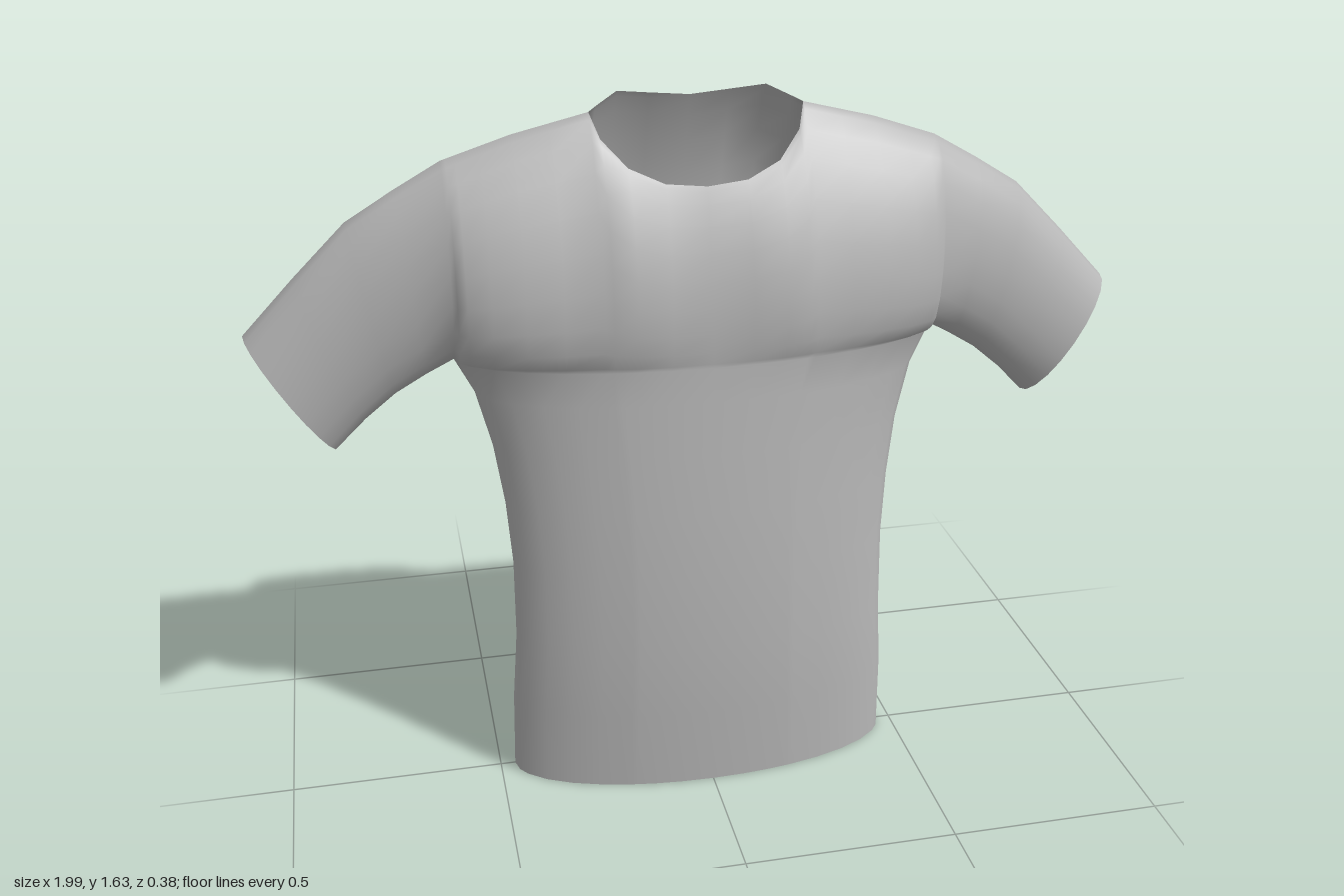
import * as THREE from 'three';
import { mergeVertices } from 'three/addons/utils/BufferGeometryUtils.js';

// Piecewise-linear lookup: rows are [key, value, value, ...]
function lookup(rows, key) {
  let i = 1;
  while (i < rows.length - 1 && rows[i][0] < key) i++;
  const a = rows[i - 1], b = rows[i];
  const f = THREE.MathUtils.clamp((key - a[0]) / (b[0] - a[0]), 0, 1);
  return a.slice(1).map((v, k) => v + (b[k + 1] - v) * f);
}

// Body profile by height: half width, side z, front z, back z
const BODY = [
  [0, 0.465, 0.0, 0.168, -0.15], [0.2, 0.46, 0.01, 0.18, -0.126],
  [0.38, 0.447, 0.02, 0.185, -0.111], [0.57, 0.445, 0.015, 0.181, -0.118],
  [0.72, 0.455, 0.005, 0.174, -0.135], [0.86, 0.475, -0.01, 0.165, -0.157],
  [0.99, 0.508, -0.02, 0.157, -0.174], [1.07, 0.55, -0.03, 0.152, -0.18],
];
const ARMPIT = 1.07, ARMHOLE = 0.55;

// Neckline and shoulder ridge by |x|: y, z
const SHOULDER = [[0.235, 1.605, -0.02], [0.4, 1.562, -0.035], [0.55, 1.51, -0.05]];
const TOP = {
  front: [[0, 1.46, 0.09], [0.09, 1.468, 0.083], [0.165, 1.5, 0.06], [0.217, 1.555, 0.02], ...SHOULDER],
  back: [[0, 1.615, -0.095], [0.09, 1.624, -0.09], [0.165, 1.635, -0.072], [0.217, 1.613, -0.035], ...SHOULDER],
};
// Fullness between armpit level and ridge by |x|: front, back
const FULL = [[0, 0.022, 0.035], [0.235, 0.07, 0.08], [0.55, 0.105, 0.12]];

// Sleeve sections: underside x, y, z, top x, y, z, front and back fullness
const SLEEVE = [
  [0.61, 1.035, -0.04, 0.655, 1.45, -0.055, 0.093, 0.105],
  [0.68, 0.99, -0.05, 0.76, 1.385, -0.06, 0.085, 0.095],
  [0.75, 0.93, -0.06, 0.88, 1.265, -0.067, 0.082, 0.085],
  [0.818, 0.86, -0.072, 0.997, 1.142, -0.072, 0.088, 0.07],
];
const COLUMNS = [0, 0.09, 0.165, 0.217, 0.235, 0.32, 0.4, 0.47, 0.52, 0.54, 0.55];

function bodyPoint(u, y, isFront) {
  const [w, side, front, back] = lookup(BODY, y);
  const z = side + ((isFront ? front : back) - side) * Math.sqrt(Math.max(0, 1 - u * u));
  return [u * w, y, z];
}

// One vertical section of the chest or sleeve, from underside to ridge
function upperSection(x, isFront) {
  const [y, z] = lookup(isFront ? TOP.front : TOP.back, x);
  const [front, back] = lookup(FULL, x);
  return [...bodyPoint(x / ARMHOLE, ARMPIT, isFront), x, y, z, front, back];
}

function sectionPoint(s, t, sign, isFront) {
  const angle = t * Math.PI, f = (1 - Math.cos(angle)) / 2;
  const power = 2 - Math.min(1, s[0] / ARMHOLE);
  const bulge = Math.pow(Math.max(0, Math.sin(angle)), power) * (isFront ? s[6] : -s[7]);
  const [x, y, z] = [0, 1, 2].map((k) => s[k] + (s[k + 3] - s[k]) * f);
  return [sign * x, y, z + bulge];
}

// Stitch a grid of points, a list of columns running left to right
function addGrid(grid, isFront, positions, indices) {
  const start = positions.length / 3, rows = grid[0].length;
  grid.forEach((column) => column.forEach((p) => positions.push(...p)));
  for (let i = 0; i < grid.length - 1; i++) {
    for (let j = 0; j < rows - 1; j++) {
      const a = start + i * rows + j, b = a + rows, c = b + 1, d = a + 1;
      if (isFront) indices.push(a, b, c, a, c, d);
      else indices.push(a, c, b, a, d, c);
    }
  }
}

export function createModel() {
  const positions = [], indices = [];
  // Mirrored column order from one side to the other
  const mirror = (list) => [
    ...list.slice(1).reverse().map((v) => [v, -1]), ...list.map((v) => [v, 1]),
  ];

  for (const isFront of [true, false]) {
    // Body panel, hem to armpit
    const body = mirror(COLUMNS).map(([x, sign]) =>
      BODY.map(([y]) => bodyPoint((sign * x) / ARMHOLE, y, isFront)));
    addGrid(body, isFront, positions, indices);

    // Chest, shoulders and sleeves, cuff to cuff
    const sections = [...COLUMNS.map((x) => upperSection(x, isFront)), ...SLEEVE];
    const steps = 10;
    const upper = mirror(sections).map(([s, sign]) =>
      Array.from({ length: steps + 1 }, (_, j) => sectionPoint(s, j / steps, sign, isFront)));
    addGrid(upper, isFront, positions, indices);
  }

  // Weld the seams so the cloth shades smoothly
  let geometry = new THREE.BufferGeometry();
  geometry.setAttribute('position', new THREE.Float32BufferAttribute(positions, 3));
  geometry.setIndex(indices);
  geometry = mergeVertices(geometry, 1e-4);
  geometry.computeVertexNormals();

  const fabric = new THREE.MeshStandardMaterial({ color: 0xb8b8b8, side: THREE.DoubleSide });
  fabric.name = 'grey fabric';
  const shirt = new THREE.Mesh(geometry, fabric);
  shirt.name = 'shirt';

  const group = new THREE.Group();
  group.name = 'shortSleevedShirt';
  group.add(shirt);
  return group;
}
